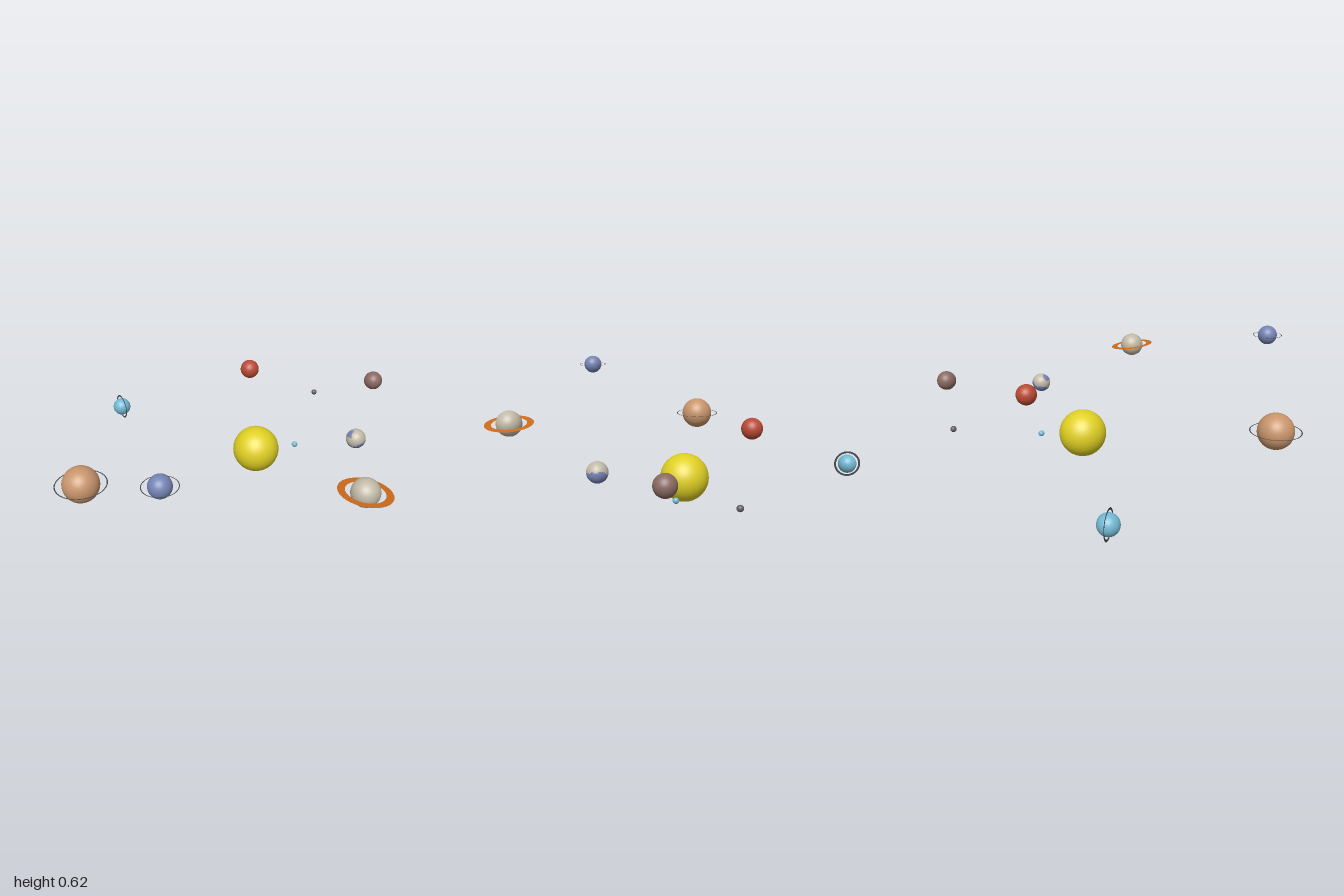
import * as THREE from 'three';

const mat = (name, color, side = THREE.FrontSide) => {
  const m = new THREE.MeshStandardMaterial({ color, side });
  m.name = name;
  return m;
};

export function createModel() {
  const model = new THREE.Group();
  const yellow = mat('sunYellow', 0xe0d024);
  const tan = mat('tan', 0xc8956c);
  const beige = mat('beige', 0xc2baa8);
  const blue = mat('slateBlue', 0x7684b4);
  const cyan = mat('cyan', 0x74b8d2);
  const red = mat('rustRed', 0xb84a34);
  const brown = mat('brown', 0x8a6a62);
  const grey = mat('grey', 0x62606a);
  const orange = mat('ringOrange', 0xcc6c1c, THREE.DoubleSide);
  const dark = mat('ringDark', 0x454b4e, THREE.DoubleSide);

  // One body: a group at its centre holding a smooth sphere
  const body = (name, [x, y, z], r, material) => {
    const g = new THREE.Group();
    g.name = name;
    g.position.set(x, y, z);
    const ball = new THREE.Mesh(new THREE.SphereGeometry(r, 48, 32), material);
    ball.name = name + 'Globe';
    g.add(ball);
    model.add(g);
    return g;
  };

  // Flat ring in the horizontal plane, tilted about z
  const ring = (parent, inner, outer, material, tilt = 0) => {
    const geo = new THREE.RingGeometry(inner, outer, 96).rotateX(-Math.PI / 2).rotateZ(tilt);
    const m = new THREE.Mesh(geo, material);
    m.name = parent.name + 'Ring';
    parent.add(m);
  };

  body('sun', [0.136, 0.126, -0.043], 0.125, yellow);
  body('smallGreyPlanet', [0.75, 0.184, -0.322], 0.016, grey);
  body('smallCyanMoon', [0.384, 0.085, -0.018], 0.016, cyan);
  body('redPlanet', [0.311, 0.431, -0.377], 0.052, red);
  body('brownPlanet', [0.941, 0.34, -0.018], 0.052, brown);

  const tanPlanet = body('tanPlanet', [-0.867, 0.25, -0.057], 0.092, tan);
  ring(tanPlanet, 0.123, 0.129, dark);

  const bluePlanet = body('bluePlanet', [-0.751, 0.574, 0.588], 0.052, blue);
  ring(bluePlanet, 0.076, 0.08, dark);

  const beigePlanet = body('beigePlanet', [0.107, 0.387, 0.87], 0.068, beige);
  ring(beigePlanet, 0.092, 0.127, orange, -0.13);

  // Upright ring facing sideways
  const cyanPlanet = body('cyanPlanet', [-0.267, 0.101, -0.929], 0.051, cyan);
  ring(cyanPlanet, 0.061, 0.072, dark, Math.PI / 2);

  // Two-tone planet: faces are sorted into land and sea by direction
  const patched = body('patchedPlanet', [0.517, 0.26, 0.336], 0.052, [beige, blue]);
  const geo = patched.children[0].geometry;
  const pos = geo.attributes.position;
  const land = [], sea = [];
  const c = new THREE.Vector3(), v = new THREE.Vector3();
  const patchDir = new THREE.Vector3(-0.55, 0.8, -0.05).normalize();
  for (let i = 0; i < geo.index.count; i += 3) {
    const tri = [0, 1, 2].map(k => geo.index.getX(i + k));
    c.set(0, 0, 0);
    tri.forEach(k => c.add(v.fromBufferAttribute(pos, k)));
    c.normalize();
    const wobble = 0.1 * Math.sin(5 * c.x + 3 * c.z) + 0.06 * Math.sin(9 * c.z - 4 * c.y);
    const low = 0.4 * c.x - 0.9 * c.y + wobble > 0.12;
    const patch = c.dot(patchDir) + wobble > 0.9;
    (low || patch ? sea : land).push(...tri);
  }
  geo.setIndex([...land, ...sea]);
  geo.clearGroups();
  geo.addGroup(0, land.length, 0);
  geo.addGroup(land.length, sea.length, 1);

  return model;
}
